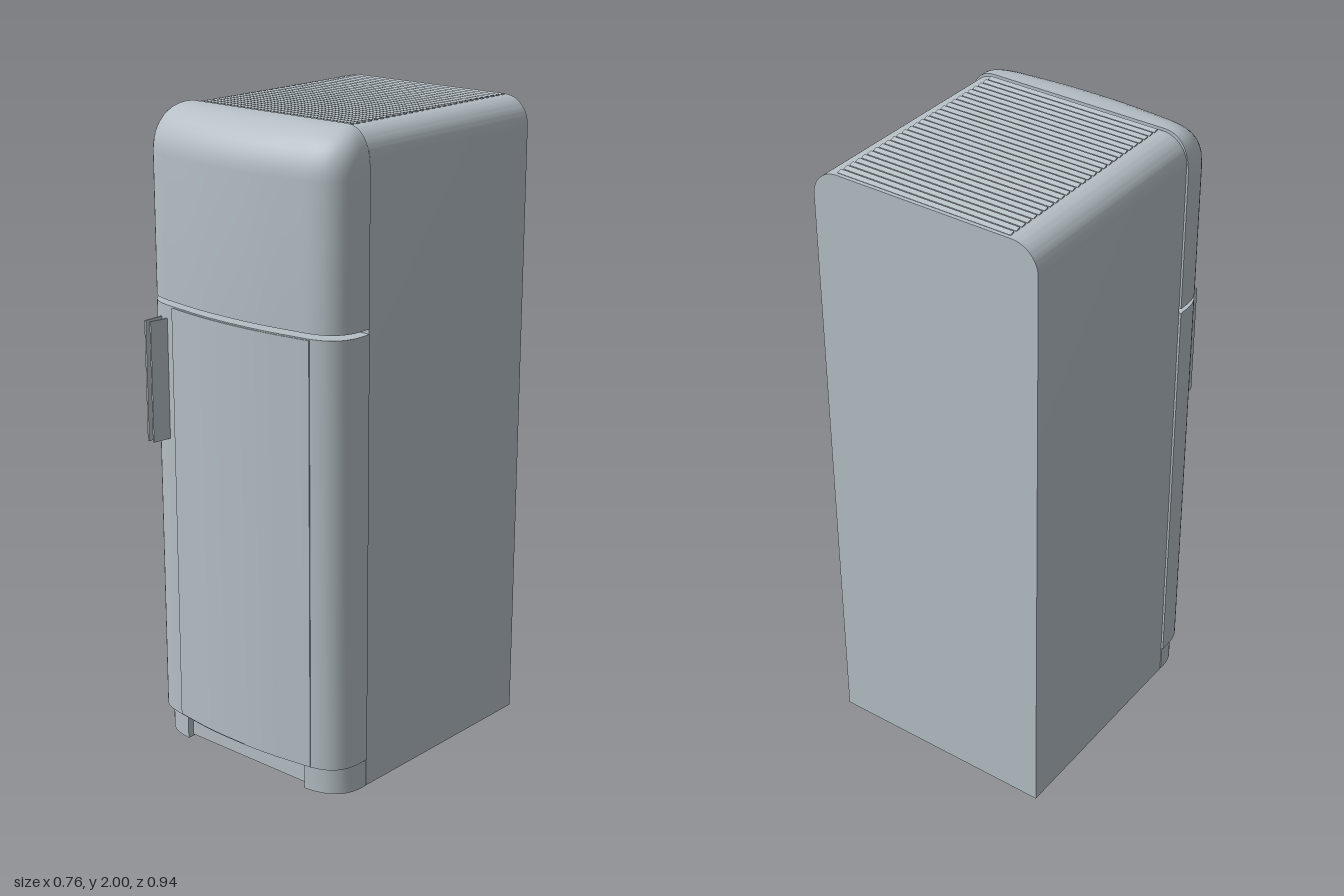
import * as THREE from 'three';
import { toCreasedNormals } from 'three/addons/utils/BufferGeometryUtils.js';

const enamel = new THREE.MeshStandardMaterial({ color: 0xb5bfc5 });
enamel.name = 'pale grey enamel';

const BACK = 0.26; // rear plane of the doors, just ahead of the cabinet
const CABINET_FRONT = 0.257;
const CABINET_REAR = -0.47;

// Plan outline of the bowed door front, from right end to left end (x, z)
const half = [[-0.38, 0.26], [-0.38, 0.315], [-0.367, 0.357], [-0.34, 0.387], [-0.3, 0.405], [-0.25, 0.414], [-0.12, 0.43]];
const outline = new THREE.SplineCurve([
  ...half, [0, 0.434], ...half.map(([x, z]) => [-x, z]).reverse(),
].map(([x, z]) => new THREE.Vector2(x, z))).getPoints(42);

// Vertical prism over the part of the door outline between x0 and x1
function doorSlice(x0, x1, y0, y1, { back = BACK, scale = 1, shift = 0 } = {}) {
  const pts = outline
    .filter(p => p.x >= x0 && p.x <= x1 && p.z !== back && p.y + shift > back + 0.002)
    .map(p => new THREE.Vector2(p.x * scale, -(p.y + shift)));
  const right = pts[0].x, left = pts[pts.length - 1].x;
  pts.push(new THREE.Vector2(left, -back), new THREE.Vector2(right, -back));
  const g = new THREE.ExtrudeGeometry(new THREE.Shape(pts), { depth: y1 - y0, bevelEnabled: false });
  g.rotateX(-Math.PI / 2).translate(0, y0, 0);
  return toCreasedNormals(g, 0.6);
}

// Upper door: outline sections shrinking over a rounded top
function domedDoor(y0, y1) {
  const round = 0.14, steps = 10;
  const levels = [[y0, 1, 1]];
  for (let i = 0; i <= steps; i++) {
    const a = (i / steps) * Math.PI / 2;
    const inset = 1 - Math.cos(a);
    levels.push([y1 - round + round * Math.sin(a), 1 - 0.22 * inset ** 1.3, 1 - 0.85 * inset]);
  }
  const pos = [], index = [], n = outline.length;
  for (const [y, sx, sz] of levels)
    for (const p of outline) pos.push(p.x * sx, y, BACK + (p.y - BACK) * sz);
  for (let r = 0; r < levels.length - 1; r++)
    for (let i = 0; i < n; i++) {
      const a = r * n + i, b = r * n + (i + 1) % n;
      index.push(a, b, b + n, a, b + n, a + n);
    }
  // flat caps
  const top = (levels.length - 1) * n;
  for (let i = 1; i < n - 1; i++) index.push(0, i + 1, i, top, top + i, top + i + 1);
  const g = new THREE.BufferGeometry();
  g.setAttribute('position', new THREE.Float32BufferAttribute(pos, 3));
  g.setIndex(index);
  return toCreasedNormals(g, 0.6);
}

// Cabinet: upright section with rounded top edges, run from rear to front
function cabinetBody(w, h, r) {
  const s = new THREE.Shape();
  s.moveTo(-w, 0);
  s.lineTo(w, 0);
  s.lineTo(w, h - r);
  s.absarc(w - r, h - r, r, 0, Math.PI / 2, false);
  s.lineTo(-w + r, h);
  s.absarc(-w + r, h - r, r, Math.PI / 2, Math.PI, false);
  const g = new THREE.ExtrudeGeometry(s, {
    depth: CABINET_FRONT - CABINET_REAR, bevelEnabled: false, curveSegments: 10,
  });
  g.translate(0, 0, CABINET_REAR);
  return toCreasedNormals(g, 0.6);
}

export function createModel() {
  const fridge = new THREE.Group();
  fridge.name = 'refrigerator';
  const add = (name, geometry, parent = fridge) => {
    const m = new THREE.Mesh(geometry, enamel);
    m.name = name;
    parent.add(m);
    return m;
  };
  const addGroup = name => {
    const g = new THREE.Group();
    g.name = name;
    fridge.add(g);
    return g;
  };

  add('cabinet', cabinetBody(0.375, 1.993, 0.085));

  // Ribbed top
  const ribs = addGroup('topRibs');
  const ribShape = new THREE.BoxGeometry(0.575, 0.005, 0.016);
  const count = 28;
  for (let i = 0; i < count; i++) {
    const rib = add('topRib', ribShape, ribs);
    rib.position.set(0.008, 1.9945, -0.45 + (i / (count - 1)) * 0.69);
    rib.rotation.x = -0.3;
  }

  // Doors, the lower one with a slightly raised front panel
  add('upperDoor', domedDoor(1.432, 2));
  add('lowerDoor', doorSlice(-1, 1, 0.09, 1.417));
  add('lowerDoorPanel', doorSlice(-0.265, 0.29, 0.094, 1.413, { back: 0.39, shift: 0.003 }));

  // Base: recessed kick plate between two rounded corner feet
  const kick = add('kickPlate', new THREE.BoxGeometry(0.53, 0.08, 0.11));
  kick.position.set(0, 0.045, BACK + 0.055);
  for (const [name, x0, x1] of [['rightFoot', -1, -0.25], ['leftFoot', 0.25, 1]])
    add(name, doorSlice(x0, x1, 0, 0.086, { scale: 0.987, shift: -0.022 }));

  // Handle made of two thin upright blades
  const handle = addGroup('handle');
  const bladeShape = new THREE.BoxGeometry(0.006, 0.375, 0.07);
  for (const [x, turn] of [[-0.308, 0], [-0.282, -0.15]]) {
    const blade = add('handleBlade', bladeShape, handle);
    blade.position.set(x, 1.188, 0.435);
    blade.rotation.y = turn;
  }
  return fridge;
}
